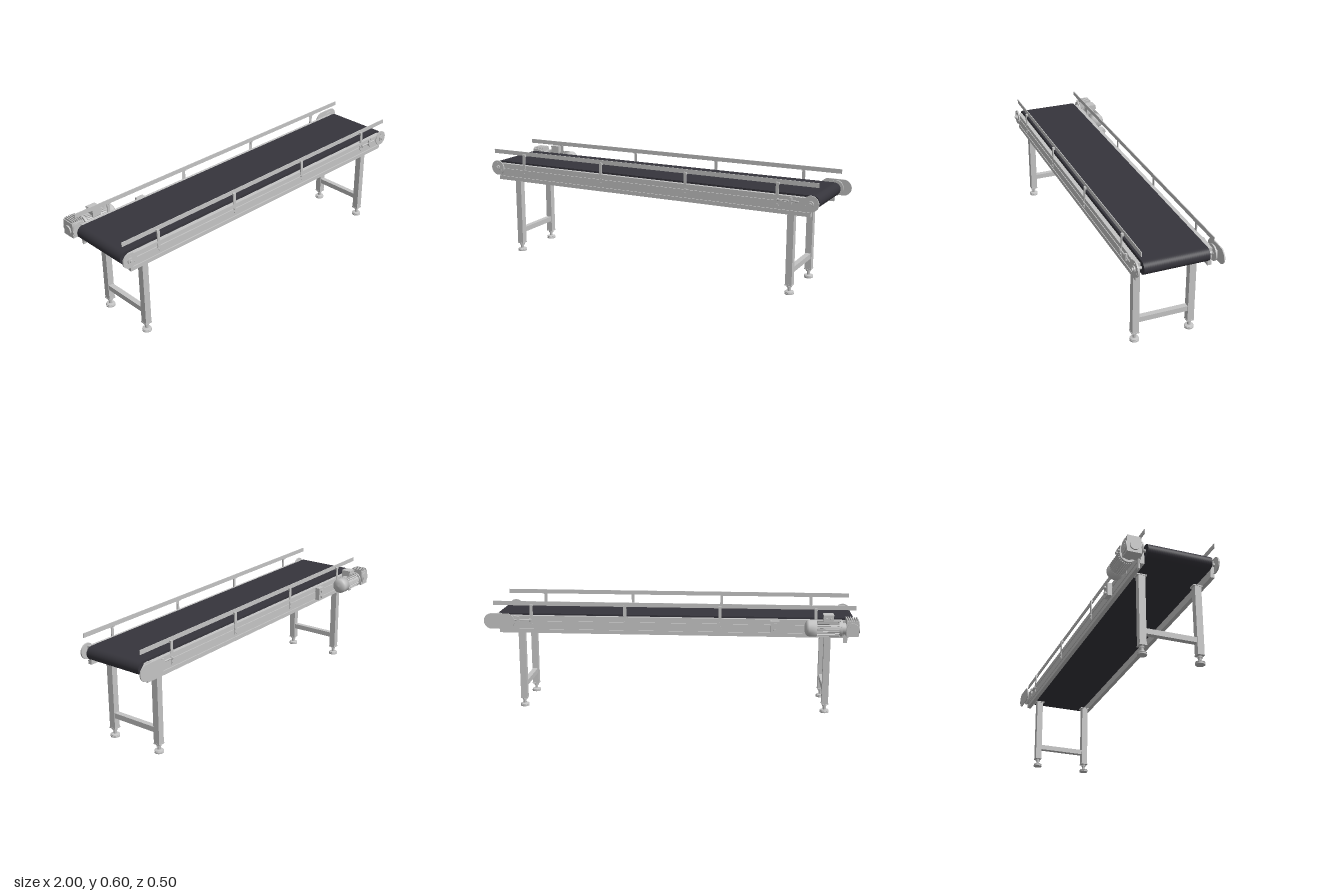
import * as THREE from 'three';

const steel = new THREE.MeshStandardMaterial({ color: 0xc4c4c4 });
steel.name = 'steel grey';
const rubber = new THREE.MeshStandardMaterial({ color: 0x36353c });
rubber.name = 'belt charcoal';

const C = 0.033;          // centre line of the frame in z
const ROLL_Y = 0.4925;    // roller axis height
const HEAD = -0.955, TAIL = 0.921; // roller axes in x

export function createModel() {
  const root = new THREE.Group();
  root.name = 'beltConveyor';

  const add = (name, geo, mat = steel, parent = root) => {
    const m = new THREE.Mesh(geo, mat);
    m.name = name;
    parent.add(m);
    return m;
  };
  // Box given by its limits on each axis
  const box = (name, x0, x1, y0, y1, z0, z1) => {
    const g = new THREE.BoxGeometry(Math.abs(x1 - x0), Math.abs(y1 - y0), Math.abs(z1 - z0));
    g.translate((x0 + x1) / 2, (y0 + y1) / 2, (z0 + z1) / 2);
    return add(name, g);
  };
  // Cylinder centred at x, y, z along the named axis
  const cyl = (name, axis, r, len, x, y, z, sides = 32) => {
    const g = new THREE.CylinderGeometry(r, r, len, sides);
    if (axis === 'x') g.rotateZ(-Math.PI / 2);
    if (axis === 'z') g.rotateX(Math.PI / 2);
    g.translate(x, y, z);
    return add(name, g);
  };
  // Plate with round ends, standing in the xy plane
  const stadium = (name, xa, xb, r, z0, depth, mat) => {
    const s = new THREE.Shape();
    s.absarc(xb, ROLL_Y, r, -Math.PI / 2, Math.PI / 2, false);
    s.absarc(xa, ROLL_Y, r, Math.PI / 2, Math.PI * 1.5, false);
    const g = new THREE.ExtrudeGeometry(s, { depth, bevelEnabled: false, curveSegments: 24 });
    g.translate(0, 0, z0);
    return add(name, g, mat);
  };

  // Belt loop and roller shafts
  stadium('belt', HEAD, TAIL, 0.0345, -0.136, 0.336, rubber);
  for (const x of [HEAD, TAIL]) cyl('rollerShaft', 'z', 0.008, 0.432, x, ROLL_Y, 0.033, 20);

  // Both sides of the frame, mirrored about the centre line
  for (const s of [1, -1]) {
    const z = d => C + s * d;

    // Slotted side rail, extruded lengthwise
    const profile = [
      [0.173, 0.425], [0.195, 0.425],
      [0.195, 0.446], [0.189, 0.446], [0.189, 0.452], [0.195, 0.452],
      [0.195, 0.490], [0.189, 0.490], [0.189, 0.496], [0.195, 0.496],
      [0.195, 0.519], [0.173, 0.519],
    ];
    const rail = new THREE.ExtrudeGeometry(
      new THREE.Shape(profile.map(([d, y]) => new THREE.Vector2(z(d), y))),
      { depth: 1.87, bevelEnabled: false });
    rail.rotateY(-Math.PI / 2).translate(0.921, 0, 0);
    add('sideRail', rail);

    // Product guide on four posts
    box('guideRail', -0.985, 0.955, 0.573, 0.596, z(0.181), z(0.185));
    for (const x of [-0.775, -0.27, 0.238, 0.745]) {
      box('guidePost', x - 0.008, x + 0.008, 0.462, 0.582, z(0.192), z(0.197));
      box('guideBracket', x - 0.008, x + 0.008, 0.57, 0.582, z(0.181), z(0.197));
      for (const y of [0.473, 0.493]) cyl('postBolt', 'z', 0.005, 0.005, x, y, z(0.199), 6);
    }

    // Bearing discs
    for (const x of [HEAD, TAIL]) {
      cyl('bearingPlate', 'z', 0.041, 0.008, x, ROLL_Y, z(0.198));
      cyl('bearingHub', 'z', 0.016, 0.008, x, ROLL_Y, z(0.205));
      cyl('bearingBolt', 'z', 0.008, 0.007, x, ROLL_Y, z(0.212), 6);
      for (let i = 0; i < 3; i++) {
        const a = Math.PI / 2 + i * Math.PI * 2 / 3;
        cyl('plateScrew', 'z', 0.004, 0.003, x + 0.028 * Math.cos(a), ROLL_Y + 0.028 * Math.sin(a), z(0.203), 8);
      }
    }

    // Belt tensioner at the tail end
    box('tensionerPlate', 0.83, 0.925, 0.463, 0.518, z(0.195), z(0.198));
    box('tensionerBlock', 0.81, 0.824, 0.48, 0.514, z(0.195), z(0.205));
    cyl('tensionerRod', 'x', 0.004, 0.11, 0.805, 0.497, z(0.2), 12);
    cyl('tensionerHead', 'x', 0.008, 0.008, 0.752, 0.497, z(0.2), 6);

    // Legs with levelling feet
    for (const x of [-0.842, 0.808]) {
      const lz = z(0.1487);
      box('legTopPlate', x - 0.02, x + 0.02, 0.42, 0.426, lz - 0.0265, lz + 0.0265);
      box('leg', x - 0.0175, x + 0.0175, 0.052, 0.421, lz - 0.0175, lz + 0.0175);
      box('legEndCap', x - 0.019, x + 0.019, 0.047, 0.053, lz - 0.019, lz + 0.019);
      cyl('footStem', 'y', 0.0085, 0.04, x, 0.03, lz, 16);
      cyl('footNut', 'y', 0.0135, 0.008, x, 0.039, lz, 6);
      const foot = new THREE.LatheGeometry([
        [0, 0], [0.024, 0], [0.024, 0.007], [0.022, 0.008], [0.022, 0.010],
        [0.024, 0.011], [0.023, 0.014], [0.012, 0.017], [0, 0.017],
      ].map(p => new THREE.Vector2(...p)), 28);
      add('foot', foot.toNonIndexed().translate(x, 0, lz)).geometry.computeVertexNormals();
    }
  }

  // Cross beams between the legs
  for (const x of [-0.842, 0.808]) box('crossBeam', x - 0.014, x + 0.014, 0.11, 0.138, C - 0.132, C + 0.132);

  // Chain guard at the tail, back side
  stadium('tailGuard', 0.874, 0.957, 0.042, -0.19, 0.006, steel);
  cyl('tailGuardHub', 'z', 0.013, 0.028, TAIL, ROLL_Y, -0.174, 24);

  // Gearbox
  const my = 0.486, mz = -0.207;
  box('gearbox', -0.992, -0.928, 0.45, 0.532, -0.244, -0.17);
  for (let i = 0; i < 6; i++) {
    const x = -0.987 + i * 0.0108;
    box('gearboxFin', x, x + 0.005, 0.53, 0.543, -0.24, -0.174);
  }
  cyl('gearboxCover', 'z', 0.032, 0.008, -0.96, 0.49, -0.246);
  cyl('gearboxHub', 'z', 0.016, 0.006, -0.96, 0.49, -0.249, 24);
  cyl('gearboxFlange', 'z', 0.034, 0.014, -0.96, 0.49, -0.167);
  cyl('gearboxEndCap', 'x', 0.024, 0.008, -0.995, my, mz, 28);
  box('torqueArm', -0.943, -0.921, 0.40, 0.5, -0.167, -0.16);

  // Motor with lengthwise cooling fins and a domed fan cowl
  cyl('motorNeck', 'x', 0.03, 0.03, -0.917, my, mz);
  cyl('motorFlange', 'x', 0.042, 0.01, -0.905, my, mz);
  cyl('motorBody', 'x', 0.036, 0.15, -0.83, my, mz);
  for (let i = 0; i < 24; i++) {
    const fin = new THREE.BoxGeometry(0.115, 0.009, 0.0035);
    fin.translate(-0.835, 0.038, 0).rotateX(i * Math.PI / 12).translate(0, my, mz);
    add('motorFin', fin);
  }
  const cowl = new THREE.LatheGeometry([
    [0, 0], [0.043, 0], [0.043, 0.04], [0.041, 0.048], [0.035, 0.055], [0.022, 0.061], [0, 0.064],
  ].map(p => new THREE.Vector2(...p)), 32);
  cowl.rotateZ(-Math.PI / 2).translate(-0.777, my, mz);
  add('fanCowl', cowl);

  // Terminal box on the motor
  box('terminalBox', -0.862, -0.812, 0.515, 0.553, -0.227, -0.175);
  box('terminalLid', -0.864, -0.81, 0.553, 0.56, -0.229, -0.173);
  for (const x of [-0.85, -0.825]) cyl('cableGland', 'z', 0.007, 0.01, x, 0.538, -0.232, 12);

  // Switch box on the back rail
  box('switchBox', -0.585, -0.537, 0.445, 0.515, -0.188, -0.16);
  for (const y of [0.464, 0.496]) cyl('switchButton', 'z', 0.009, 0.01, -0.561, y, -0.192, 20);

  return root;
}
